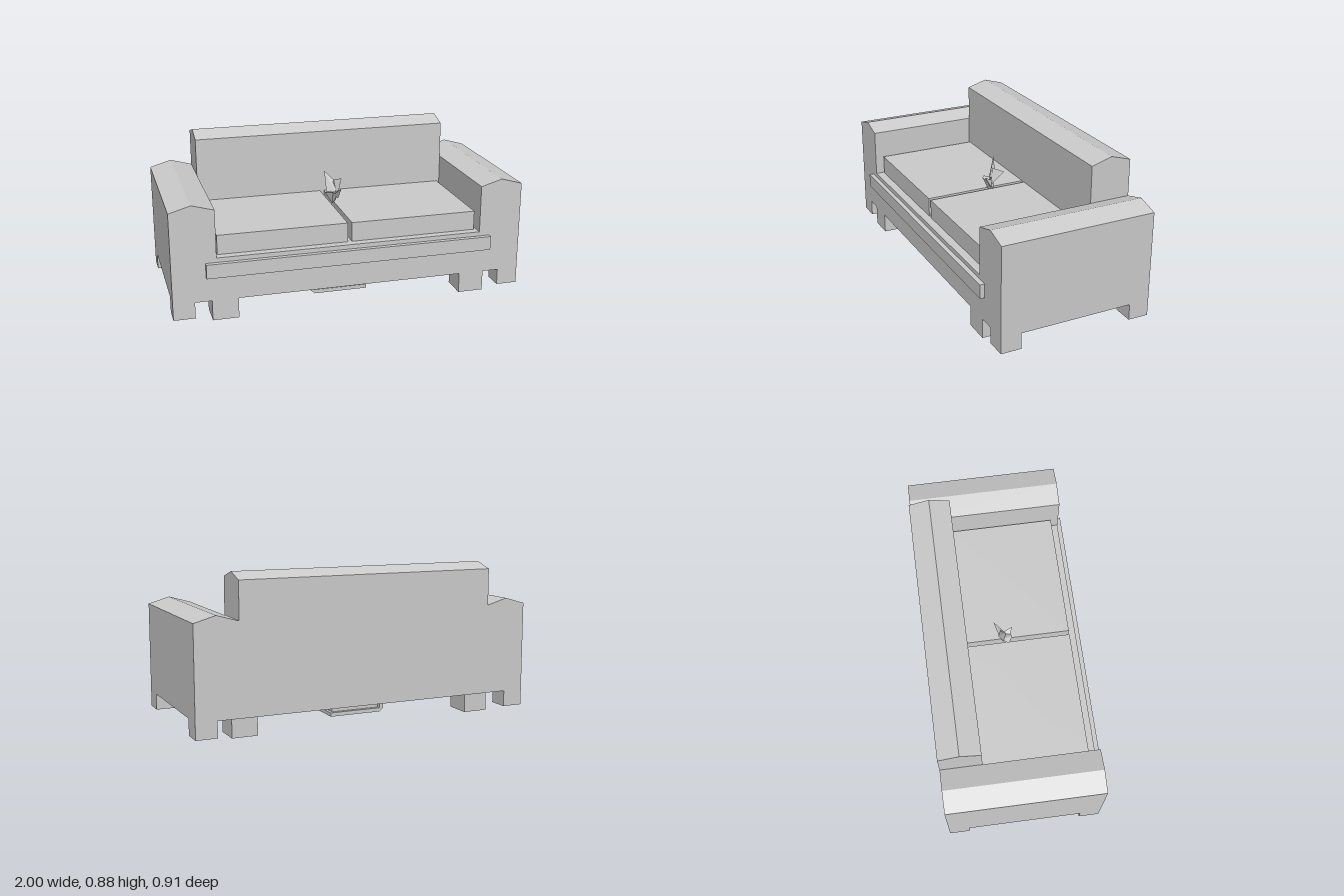
import * as THREE from 'three';
import { ConvexGeometry } from 'three/addons/geometries/ConvexGeometry.js';

const material = new THREE.MeshStandardMaterial({ color: 0xcccccc, flatShading: true });

export function createModel() {
  const group = new THREE.Group();

  const add = (name, geometry) => {
    const mesh = new THREE.Mesh(geometry, material);
    mesh.name = name;
    group.add(mesh);
    return mesh;
  };

  // Box given by its extents along each axis
  const box = (name, [x0, x1], [y0, y1], [z0, z1]) =>
    add(name, new THREE.BoxGeometry(x1 - x0, y1 - y0, z1 - z0))
      .position.set((x0 + x1) / 2, (y0 + y1) / 2, (z0 + z1) / 2);

  // Upright block with a shallow ridge, extruded along z
  const ridged = (w, y0, eaves, ridge, length) => {
    const shape = new THREE.Shape([
      [-w / 2, y0], [w / 2, y0], [w / 2, eaves], [0, ridge], [-w / 2, eaves],
    ].map(([x, y]) => new THREE.Vector2(x, y)));
    return new THREE.ExtrudeGeometry(shape, { depth: length, bevelEnabled: false })
      .translate(0, 0, -length / 2);
  };

  const solid = (name, points) =>
    add(name, new ConvexGeometry(points.map((p) => new THREE.Vector3(...p))));

  // Seat base, backrest and front trim
  box('seatBase', [-0.755, 0.755], [0.115, 0.36], [-0.22, 0.43]);
  add('backrest', ridged(0.235, 0.115, 0.84, 0.875, 1.51).rotateY(Math.PI / 2))
    .position.z = -0.3375;
  box('frontTrim', [-0.815, 0.815], [0.255, 0.335], [0.43, 0.457]);

  // Cushions with a narrow gap between them
  box('rightCushion', [-0.743, -0.013], [0.36, 0.47], [-0.22, 0.382]);
  box('leftCushion', [0.011, 0.739], [0.36, 0.47], [-0.22, 0.382]);

  // Arms and feet, mirrored
  for (const [side, s] of [['left', 1], ['right', -1]]) {
    const span = (a, b) => (s > 0 ? [a, b] : [-b, -a]);
    add(side + 'Arm', ridged(0.245, 0.115, 0.63, 0.665, 0.885))
      .position.set(s * 0.8775, 0, -0.0125);
    box(side + 'FrontCornerFoot', span(0.88, 1), [0.023, 0.115], [0.313, 0.43]);
    box(side + 'BackCornerFoot', span(0.88, 1), [0.023, 0.115], [-0.455, -0.337]);
    box(side + 'FrontInnerFoot', span(0.642, 0.787), [0, 0.115], [0.28, 0.43]);
    box(side + 'BackInnerFoot', span(0.642, 0.787), [0, 0.115], [-0.405, -0.25]);
  }

  // Book tucked under the seat: pages, cover, chamfered spine, marker
  box('bookPages', [-0.172, 0.12], [0.035, 0.115], [-0.21, 0.232]);
  box('bookCover', [-0.172, 0.136], [0.013, 0.035], [-0.232, 0.256]);
  const spine = [[-0.195, 0.115], [-0.195, 0.033], [-0.172, 0.013], [-0.172, 0.115]];
  solid('bookSpine', spine.flatMap(([x, y]) => [[x, y, -0.232], [x, y, 0.256]]));
  solid('bookMarker', [
    [0.12, 0.115, 0.075], [0.12, 0.115, -0.05], [0.146, 0.115, 0.045],
    [0.146, 0.115, -0.025], [0.12, 0.073, 0.012],
  ]);

  // Folded paper ornament: pointed base and spread wings
  solid('ornamentBase', [
    [0, 0.465, 0.01], [0.025, 0.475, -0.01], [-0.045, 0.535, 0.02],
    [-0.005, 0.54, 0.045], [0.03, 0.52, 0.02], [-0.01, 0.53, -0.03],
  ]);
  solid('ornamentTallWing', [
    [-0.035, 0.65, -0.04], [-0.03, 0.53, -0.01], [0.02, 0.53, 0.01], [0.025, 0.59, -0.02],
  ]);
  solid('ornamentSideWing', [
    [0.075, 0.59, -0.055], [0, 0.54, -0.03], [0.03, 0.5, 0.01], [0.015, 0.6, -0.01],
  ]);
  solid('ornamentFrontWing', [
    [0.045, 0.56, 0.05], [0.035, 0.49, 0.01], [0, 0.52, 0.03], [0.03, 0.53, 0],
  ]);

  return group;
}
